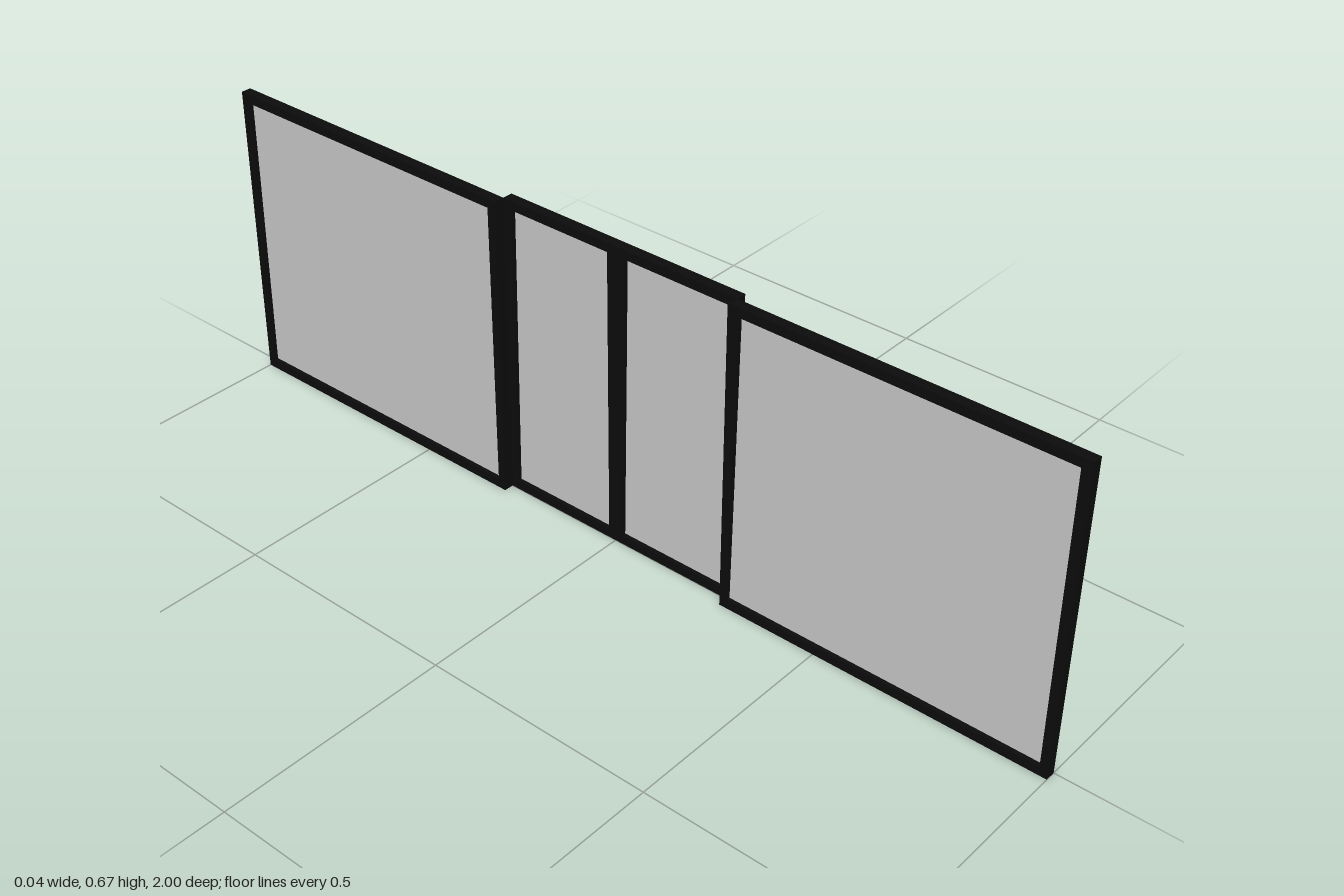
import * as THREE from 'three';

const HEIGHT = 0.665, DEPTH = 0.022, RAIL = 0.02;
const STILE_TOP = 0.021, STILE_BOTTOM = 0.017;

const frameMaterial = new THREE.MeshStandardMaterial({ color: 0x0c0c0c });
const glassMaterial = new THREE.MeshStandardMaterial({ color: 0xcccccc });

// One framed pane spanning z0..z1, its frame starting at x
function makePanel(name, z0, z1, x) {
  const width = z1 - z0;
  const panel = new THREE.Group();
  panel.name = name;

  // Frame outline with a slightly tapered opening
  const outline = new THREE.Shape([
    new THREE.Vector2(0, 0), new THREE.Vector2(width, 0),
    new THREE.Vector2(width, HEIGHT), new THREE.Vector2(0, HEIGHT),
  ]);
  outline.holes.push(new THREE.Path([
    new THREE.Vector2(STILE_BOTTOM, RAIL),
    new THREE.Vector2(STILE_TOP, HEIGHT - RAIL),
    new THREE.Vector2(width - STILE_TOP, HEIGHT - RAIL),
    new THREE.Vector2(width - STILE_BOTTOM, RAIL),
  ]));
  const frame = new THREE.Mesh(
    new THREE.ExtrudeGeometry(outline, { depth: DEPTH, bevelEnabled: false }), frameMaterial);
  frame.name = 'frame';
  panel.add(frame);

  // Glass sits in the middle of the frame depth, tucked into its edges
  const glass = new THREE.Mesh(
    new THREE.BoxGeometry(width - 0.02, HEIGHT - 0.02, 0.004), glassMaterial);
  glass.name = 'glassPane';
  glass.position.set(width / 2, HEIGHT / 2, DEPTH / 2);
  panel.add(glass);

  // Turn the panel to face +x
  panel.rotation.y = Math.PI / 2;
  panel.position.set(x, 0, z1);
  return panel;
}

export function createModel() {
  const group = new THREE.Group();
  group.name = 'slidingWindow';
  const split = 0.28;
  // Wide fixed panels on the outer track, narrow sliding pair on the inner one
  group.add(
    makePanel('frontFixedPanel', split, 1, -DEPTH),
    makePanel('frontSlidingPanel', 0, split, 0),
    makePanel('backSlidingPanel', -split, 0, 0),
    makePanel('backFixedPanel', -1, -split, -DEPTH),
  );
  return group;
}
